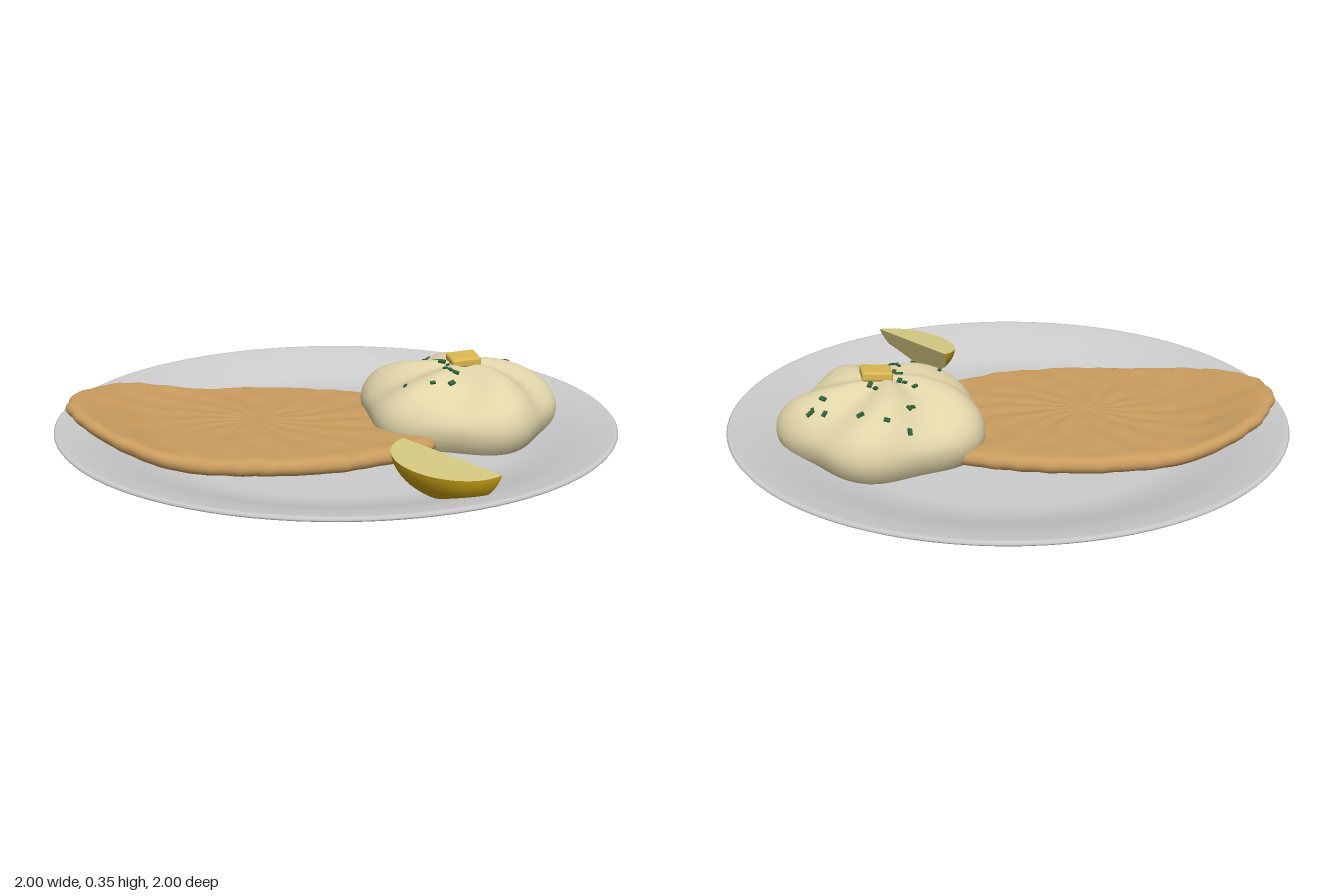
import * as THREE from 'three';
import { RoundedBoxGeometry } from 'three/addons/geometries/RoundedBoxGeometry.js';

const V = (x, y, z) => new THREE.Vector3(x, y, z);

function addMesh(parent, name, geometry, color, side = THREE.FrontSide) {
  const mesh = new THREE.Mesh(geometry, new THREE.MeshStandardMaterial({ color, side }));
  mesh.name = name;
  parent.add(mesh);
  return mesh;
}

// Surface from rows of points; wrap closes each row into a loop
function gridSurface(rows, cols, wrap, point) {
  const pos = [], index = [], n = wrap ? cols : cols + 1;
  for (let i = 0; i <= rows; i++)
    for (let j = 0; j < n; j++) pos.push(...point(i / rows, j / cols).toArray());
  for (let i = 0; i < rows; i++) {
    for (let j = 0; j < cols; j++) {
      const k = (j + 1) % n;
      const a = i * n + j, b = i * n + k, c = a + n, d = b + n;
      index.push(a, b, c, b, d, c);
    }
  }
  const g = new THREE.BufferGeometry();
  g.setAttribute('position', new THREE.Float32BufferAttribute(pos, 3));
  g.setIndex(index);
  g.computeVertexNormals();
  return g;
}

// Height of the plate's upper side at a radius
const plateY = (r) => 0.068 + 0.087 * THREE.MathUtils.smoothstep(r, 0.62, 1);

function addPlate(group) {
  const profile = [
    [0, 0.008], [0.45, 0.008], [0.46, 0.007], [0.475, 0], [0.505, 0], [0.512, 0.003],
    [0.53, 0.022], [0.55, 0.036], [0.58, 0.045], [0.62, 0.048], [0.68, 0.054], [0.75, 0.068],
    [0.85, 0.098], [0.93, 0.122], [0.98, 0.139], [0.996, 0.146], [1, 0.152], [0.994, 0.158], [0.98, 0.158],
  ].map(([r, y]) => new THREE.Vector2(r, y));
  for (let r = 0.95; r > 0.6; r -= 0.03) profile.push(new THREE.Vector2(r, plateY(r)));
  profile.push(new THREE.Vector2(0.5, 0.068), new THREE.Vector2(0, 0.068));
  addMesh(group, 'plate', new THREE.LatheGeometry(profile, 96), 0xcccccc);
}

// Thin breaded cutlet that bends with the plate
function addCutlet(group) {
  const outline = new THREE.CatmullRomCurve3([
    [0.42, 0.02], [0.38, 0.15], [0.3, 0.27], [0.15, 0.41], [0, 0.49], [-0.2, 0.555], [-0.4, 0.575],
    [-0.6, 0.54], [-0.78, 0.46], [-0.91, 0.34], [-0.945, 0.2], [-0.89, 0], [-0.75, -0.15],
    [-0.5, -0.285], [-0.3, -0.35], [0, -0.375], [0.18, -0.34], [0.33, -0.24], [0.41, -0.11],
  ].map(([x, z]) => V(x, 0, z)), true);
  const centre = V(-0.27, 0, 0.1), half = 0.03, cols = 180;
  const edge = outline.getSpacedPoints(cols);
  const geometry = gridSurface(44, cols, true, (u, v) => {
    const a = v * Math.PI * 2;
    const rim = edge[Math.round(v * cols)];
    const wobble = 1 + 0.005 * Math.sin(a * 27 + Math.sin(a * 5) * 2) + 0.004 * Math.sin(a * 41);
    // s runs out across the top, round the edge, and back underneath
    let s, h;
    if (u < 0.4) { s = 0.93 * u / 0.4; h = 1; }
    else if (u > 0.6) { s = 0.93 * (1 - u) / 0.4; h = -1; }
    else {
      const t = (u - 0.4) / 0.2 * Math.PI;
      s = 0.93 + 0.07 * Math.sin(t);
      h = Math.cos(t);
    }
    const p = centre.clone().lerp(rim, s * (1 + (wobble - 1) * s * s));
    const ripple = 0.0022 * Math.sin(a * 15 + s * 7) * s * (1.1 - s) * 3
      + 0.002 * Math.sin(p.x * 31 + Math.sin(p.z * 23)) * Math.sin(p.z * 29);
    p.y = plateY(p.length()) + 0.003 + half + h * half + (h > 0 ? ripple * h : 0);
    return p;
  });
  addMesh(group, 'cutlet', geometry, 0xc99c5e);
}

// Point on the swirled mound: u runs from the top to the base
const moundCentre = V(0.4, 0, -0.22);
function moundPoint(u, a) {
  const phi = Math.min(u / 0.75, 1) * Math.PI / 2;
  const below = Math.max(0, (u - 0.75) / 0.25);
  const s = Math.sin(phi);
  const wave = Math.cos(5 * (a + 0.42) + 3.2 * (1 - s));
  const r = s * (0.353 + 0.021 * wave + 0.008 * Math.sin(2 * a + 1)) * (1 - 0.1 * below * below);
  const y = 0.15 + 0.172 * Math.cos(phi) + 0.013 * wave * Math.sin(2 * phi) - 0.086 * below;
  return V(moundCentre.x + r * Math.cos(a), y, moundCentre.z + r * Math.sin(a));
}

function addMash(group) {
  addMesh(group, 'mashedPotato',
    gridSurface(48, 120, true, (u, v) => moundPoint(u, v * Math.PI * 2)), 0xe0d4a8);

  const butter = addMesh(group, 'butter', new RoundedBoxGeometry(0.108, 0.034, 0.108, 3, 0.01), 0xdcb850);
  butter.position.set(0.422, 0.332, -0.22);
  butter.rotation.set(0.05, 0.45, 0.07);

  // Chopped herb flecks lying on the mound
  const herbs = new THREE.Group();
  herbs.name = 'herbs';
  group.add(herbs);
  const spots = [
    [0.31, -0.24], [0.39, -0.32], [0.42, -0.3], [0.27, -0.25], [0.42, -0.09], [0.38, -0.11],
    [0.375, -0.16], [0.42, -0.02], [0.36, 0], [0.55, -0.39], [0.58, -0.43], [0.54, -0.45],
    [0.39, -0.47], [0.25, -0.385], [0.22, -0.47], [0.26, 0], [0.59, -0.44], [0.35, -0.19],
    [0.4, -0.1], [0.33, -0.235], [0.24, -0.37], [0.3, -0.47],
  ];
  const flake = new THREE.BoxGeometry(0.024, 0.008, 0.015);
  spots.forEach(([x, z], i) => {
    const dx = x - moundCentre.x, dz = z - moundCentre.z, a = Math.atan2(dz, dx);
    const u = 0.75 * Math.asin(Math.min(1, Math.hypot(dx, dz) / 0.355)) / (Math.PI / 2);
    const p = moundPoint(u, a);
    const outward = moundPoint(u + 0.02, a).sub(p);
    const around = moundPoint(u, a + 0.05).sub(p);
    const normal = around.cross(outward).normalize();
    const fleck = addMesh(herbs, 'herbFleck', flake, 0x2c6238);
    fleck.position.copy(p).addScaledVector(normal, 0.003);
    fleck.quaternion.setFromUnitVectors(V(0, 1, 0), normal);
    fleck.rotateY(i * 2.4);
    fleck.scale.setScalar(0.7 + 0.35 * ((i * 7) % 5) / 4);
  });
}

// Lemon wedge: a lune of rind closed by two flat cut faces
function addLemon(group) {
  const lemon = new THREE.Group();
  lemon.name = 'lemonWedge';
  group.add(lemon);
  const ends = [V(0.343, 0.205, 0.36), V(0.703, 0.205, 0.605)];
  const mid = ends[0].clone().lerp(ends[1], 0.5);
  const axis = ends[1].clone().sub(mid);
  const out = V(-axis.z, 0, axis.x).normalize();
  const depth = 0.155, first = 0.12, last = 1.25;
  const at = (t, tilt, k) => {
    const a = t * Math.PI;
    return mid.clone().addScaledVector(axis, -Math.cos(a))
      .addScaledVector(out, k * depth * Math.sin(a) * Math.cos(tilt))
      .add(V(0, -k * 0.135 * Math.sin(a) * Math.sin(tilt), 0));
  };
  addMesh(lemon, 'lemonRind', gridSurface(14, 32, false,
    (u, v) => at(v, first + u * (last - first), 1)), 0xc09a14, THREE.DoubleSide);
  for (const tilt of [first, last]) {
    addMesh(lemon, 'lemonCutFace', gridSurface(1, 32, false,
      (u, v) => at(v, tilt, u)), 0xd6c982, THREE.DoubleSide);
  }
}

export function createModel() {
  const group = new THREE.Group();
  group.name = 'dinnerPlate';
  addPlate(group);
  addCutlet(group);
  addMash(group);
  addLemon(group);
  return group;
}
